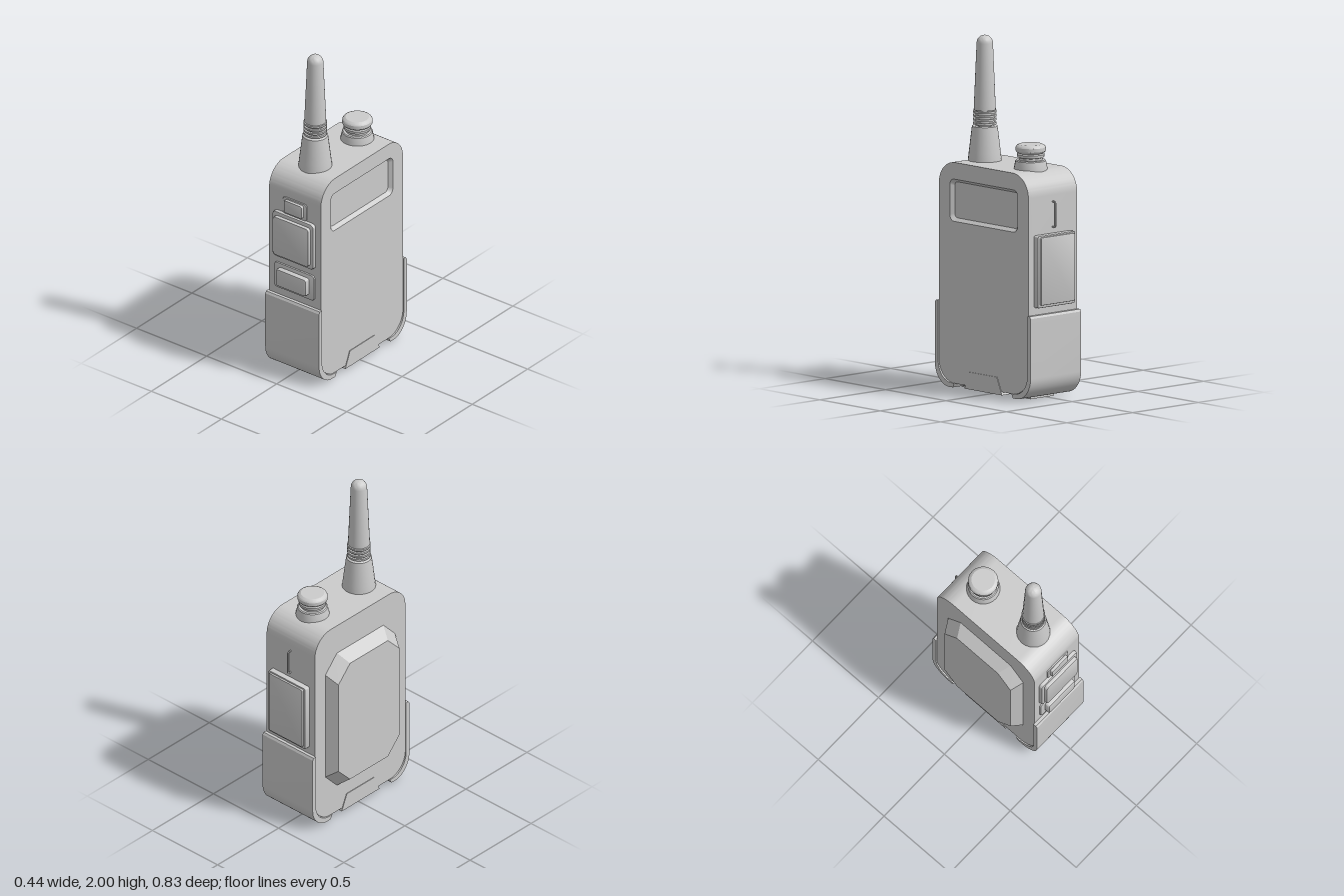
import * as THREE from 'three';
import { toCreasedNormals } from 'three/addons/utils/BufferGeometryUtils.js';
import { ConvexGeometry } from 'three/addons/geometries/ConvexGeometry.js';

const grey = new THREE.MeshStandardMaterial({ color: 0xcccccc });
const greyDouble = new THREE.MeshStandardMaterial({ color: 0xcccccc, side: THREE.DoubleSide });

// Rounded rectangle centred on (cx, cy)
function roundRect(cx, cy, w, h, r, Type = THREE.Shape) {
  const s = new Type(), a = cx - w / 2, b = cx + w / 2, c = cy - h / 2, d = cy + h / 2;
  s.moveTo(a + r, c).lineTo(b - r, c);
  s.absarc(b - r, c + r, r, -Math.PI / 2, 0);
  s.absarc(b - r, d - r, r, 0, Math.PI / 2);
  s.absarc(a + r, d - r, r, Math.PI / 2, Math.PI);
  s.absarc(a + r, c + r, r, Math.PI, Math.PI * 1.5);
  return s;
}

// Extrusion filling depth 0..depth exactly, with an optional bevel on the far face
function extrude(shape, depth, bevel = 0) {
  const g = new THREE.ExtrudeGeometry(shape, {
    depth: depth - bevel, bevelEnabled: bevel > 0, bevelThickness: bevel, bevelSize: bevel,
    bevelOffset: -bevel, bevelSegments: 2, curveSegments: 12,
  });
  return toCreasedNormals(g, 0.5);
}

// Side profile (horizontal = -z, vertical = y) extruded from x0 to x1
function sideExtrude(shape, x0, x1) {
  return extrude(shape, x1 - x0).rotateY(Math.PI / 2).translate(x0, 0, 0);
}

export function createModel() {
  const model = new THREE.Group();
  const add = (name, geometry, material = grey) => {
    const mesh = new THREE.Mesh(geometry, material);
    mesh.name = name;
    model.add(mesh);
    return mesh;
  };

  // Body: a core plus a face slab with the display opening
  const outline = () => roundRect(0, 0.6625, 0.74, 1.255, 0.13);
  const left = -0.157, right = 0.213, floor = 0.19;
  add('body', sideExtrude(outline(), left, floor));
  const face = outline();
  face.holes.push(roundRect(0, 1.075, 0.56, 0.24, 0.035, THREE.Path));
  add('bodyFace', sideExtrude(face, floor, right));

  // Sloped rim of the display recess, lofted between two rounded rectangles
  const outer = roundRect(0, 1.075, 0.56, 0.24, 0.035).getPoints(6);
  const inner = roundRect(0, 1.075, 0.525, 0.205, 0.025).getPoints(6);
  const pos = [], idx = [];
  outer.forEach((p, i) => {
    pos.push(right, p.y, -p.x, floor + 0.001, inner[i].y, -inner[i].x);
    const a = 2 * i, b = 2 * ((i + 1) % outer.length);
    idx.push(a, a + 1, b, b, a + 1, b + 1);
  });
  const rim = new THREE.BufferGeometry();
  rim.setAttribute('position', new THREE.Float32BufferAttribute(pos, 3));
  rim.setIndex(idx);
  rim.computeVertexNormals();
  add('displayRim', rim, greyDouble);

  // Raised octagonal battery cover on the side
  const octagon = (x, z, y0, y1, zc, yc) => [-1, 1].flatMap(s => [
    [z, y0 + yc], [z, y1 - yc], [z - zc, y0], [z - zc, y1],
  ].map(([pz, py]) => new THREE.Vector3(x, py, s * pz)));
  add('batteryCover', new ConvexGeometry([
    ...octagon(left + 0.01, 0.29, 0.202, 1.113, 0.095, 0.103),
    ...octagon(-0.225, 0.25, 0.265, 1.05, 0.095, 0.1),
  ]));

  // Lower bumper: a curved band on each side, with a small foot under it
  for (const s of [-1, 1]) {
    const band = new THREE.Shape();
    band.moveTo(s * 0.37, 0.493).lineTo(s * 0.388, 0.493).lineTo(s * 0.396, 0.48).lineTo(s * 0.396, 0.14);
    band.bezierCurveTo(s * 0.396, 0.07, s * 0.34, 0.012, s * 0.28, 0.012);
    band.lineTo(s * 0.25, 0.012).lineTo(s * 0.235, 0.037).lineTo(s * 0.26, 0.037);
    band.bezierCurveTo(s * 0.32, 0.037, s * 0.37, 0.09, s * 0.37, 0.16);
    add('bumper', sideExtrude(band, -0.164, 0.22));
    add('foot', new THREE.BoxGeometry(0.18, 0.02, 0.04)).position.set(0.03, 0.01, s * 0.265);
  }

  // Trapezoid clip wrapping under the base
  const clip = new THREE.Shape();
  clip.moveTo(-0.155, 0.017).lineTo(0.155, 0.017).lineTo(0.112, 0.115).lineTo(-0.112, 0.115);
  add('baseClip', sideExtrude(clip, -0.161, 0.217));

  // Pads on the narrow faces: name, x centre, y centre, width, height, corner, outer z, bevel, side
  const pads = [
    ['smallButtonFrame', 0.03, 1.087, 0.17, 0.105, 0.015, 0.378, 0.003, 1],
    ['smallButton', 0.03, 1.09, 0.13, 0.08, 0.012, 0.396, 0.006, 1],
    ['talkButtonFrame', 0.028, 0.89, 0.295, 0.29, 0.025, 0.392, 0.008, 1],
    ['talkButton', 0.028, 0.89, 0.255, 0.245, 0.02, 0.414, 0.006, 1],
    ['lowerButtonFrame', 0.028, 0.62, 0.285, 0.16, 0.02, 0.38, 0.004, 1],
    ['lowerButton', 0.028, 0.622, 0.215, 0.108, 0.015, 0.412, 0.01, 1],
    ['portCoverFrame', 0.028, 0.74, 0.285, 0.41, 0.012, 0.404, 0.006, -1],
    ['portCover', 0.028, 0.744, 0.257, 0.385, 0.01, 0.416, 0.004, -1],
  ];
  for (const [name, cx, cy, w, h, r, z, bevel, side] of pads) {
    const g = extrude(roundRect(side * cx, cy, w, h, r), z - 0.35, bevel).translate(0, 0, 0.35);
    if (side < 0) g.rotateY(Math.PI);
    add(name, g);
  }

  // Thin strap loop on the back edge
  const loop = roundRect(0.375, 1.052, 0.046, 0.152, 0.018);
  loop.holes.push(roundRect(0.375, 1.052, 0.03, 0.136, 0.012, THREE.Path));
  add('strapLoop', sideExtrude(loop, 0.025, 0.032));

  // Turned parts on top
  const lathe = (name, z, profile) => {
    const g = new THREE.LatheGeometry(profile.map(([r, y]) => new THREE.Vector2(r, y)), 24);
    add(name, toCreasedNormals(g, 0.5)).position.set(0.03, 0, z);
  };
  lathe('knob', -0.19, [
    [0.097, 1.25], [0.095, 1.29], [0.086, 1.335], [0.08, 1.34], [0.066, 1.34], [0.066, 1.352],
    [0.076, 1.356], [0.078, 1.372], [0.07, 1.378], [0.08, 1.384], [0.085, 1.392], [0.085, 1.412],
    [0.08, 1.42], [0.066, 1.428], [0, 1.428],
  ]);
  const ribs = [1.5, 1.522, 1.544, 1.566].flatMap(y => [
    [0.054, y - 0.005], [0.066, y - 0.005], [0.066, y + 0.006], [0.054, y + 0.006],
  ]);
  const dome = [1, 2, 3, 4, 5, 6].map(i => {
    const a = i * Math.PI / 12;
    return [0.046 * Math.cos(a), 1.955 + 0.045 * Math.sin(a)];
  });
  lathe('antenna', 0.19, [
    [0.097, 1.25], [0.095, 1.29], [0.09, 1.335], [0.072, 1.484], [0.066, 1.488], [0.054, 1.488],
    ...ribs, [0.054, 1.576], [0.062, 1.576], [0.061, 1.6], [0.046, 1.955], ...dome,
  ]);

  return model;
}
